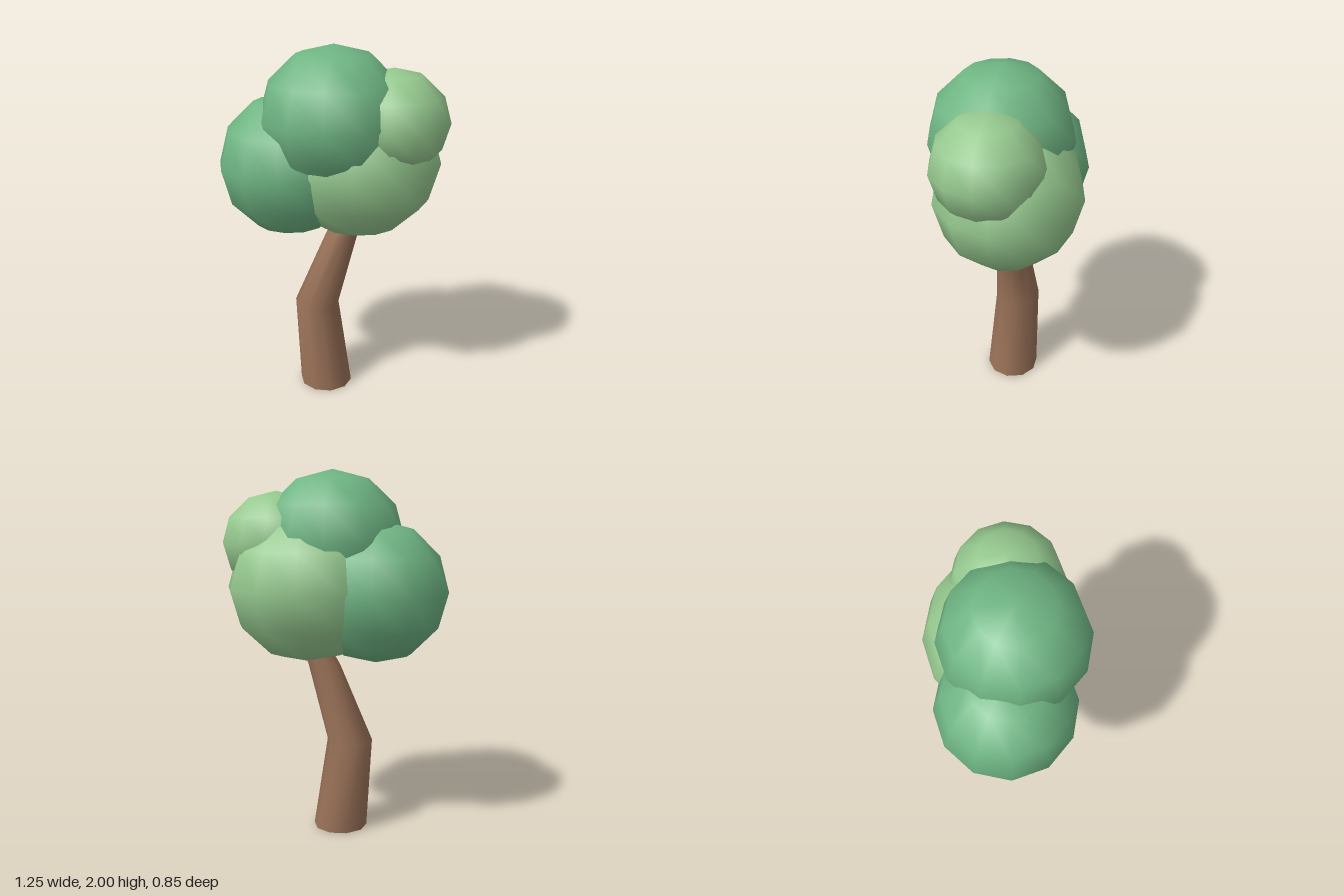
import * as THREE from 'three';
import { toCreasedNormals } from 'three/addons/utils/BufferGeometryUtils.js';

const mat = (color) => new THREE.MeshStandardMaterial({ color });

// Ten-sided trunk: each ring is [y, centre x, centre z, radius]
function trunkGeometry() {
  const rings = [
    [0, -0.04, -0.01, 0.15],
    [0.515, -0.094, -0.027, 0.125],
    [0.945, 0.05, -0.03, 0.088],
    [1.25, 0.2, -0.03, 0.06],
  ];
  const steps = rings.length - 1;
  const geo = new THREE.CylinderGeometry(1, 1, steps, 10, steps);
  geo.rotateY(Math.PI / 2);
  const p = geo.attributes.position;
  for (let i = 0; i < p.count; i++) {
    const [y, cx, cz, r] = rings[Math.round(p.getY(i) + steps / 2)];
    p.setXYZ(i, cx + p.getX(i) * r, y, cz + p.getZ(i) * r);
  }
  return toCreasedNormals(geo, 1);
}

export function createModel() {
  const tree = new THREE.Group();
  tree.name = 'tree';

  const trunk = new THREE.Mesh(trunkGeometry(), mat(0x9a7258));
  trunk.name = 'trunk';
  tree.add(trunk);

  // Foliage: overlapping smooth, coarse balls, slightly stretched
  const dark = mat(0x6fb583);
  const light = mat(0x96c98f);
  const ball = new THREE.SphereGeometry(1, 12, 6);
  const clumps = [
    ['foliageTop', dark, [0.01, 1.62, 0.04], [0.395, 0.38, 0.385]],
    ['foliageRight', dark, [-0.236, 1.345, -0.017], [0.39, 0.39, 0.37]],
    ['foliageLeft', light, [0.14, 1.368, -0.028], [0.44, 0.41, 0.397]],
    ['foliageSmall', light, [0.32, 1.605, 0.03], [0.3, 0.28, 0.295]],
  ];
  for (const [name, material, centre, radii] of clumps) {
    const clump = new THREE.Mesh(ball, material);
    clump.name = name;
    clump.position.set(...centre);
    clump.scale.set(...radii);
    tree.add(clump);
  }
  return tree;
}
